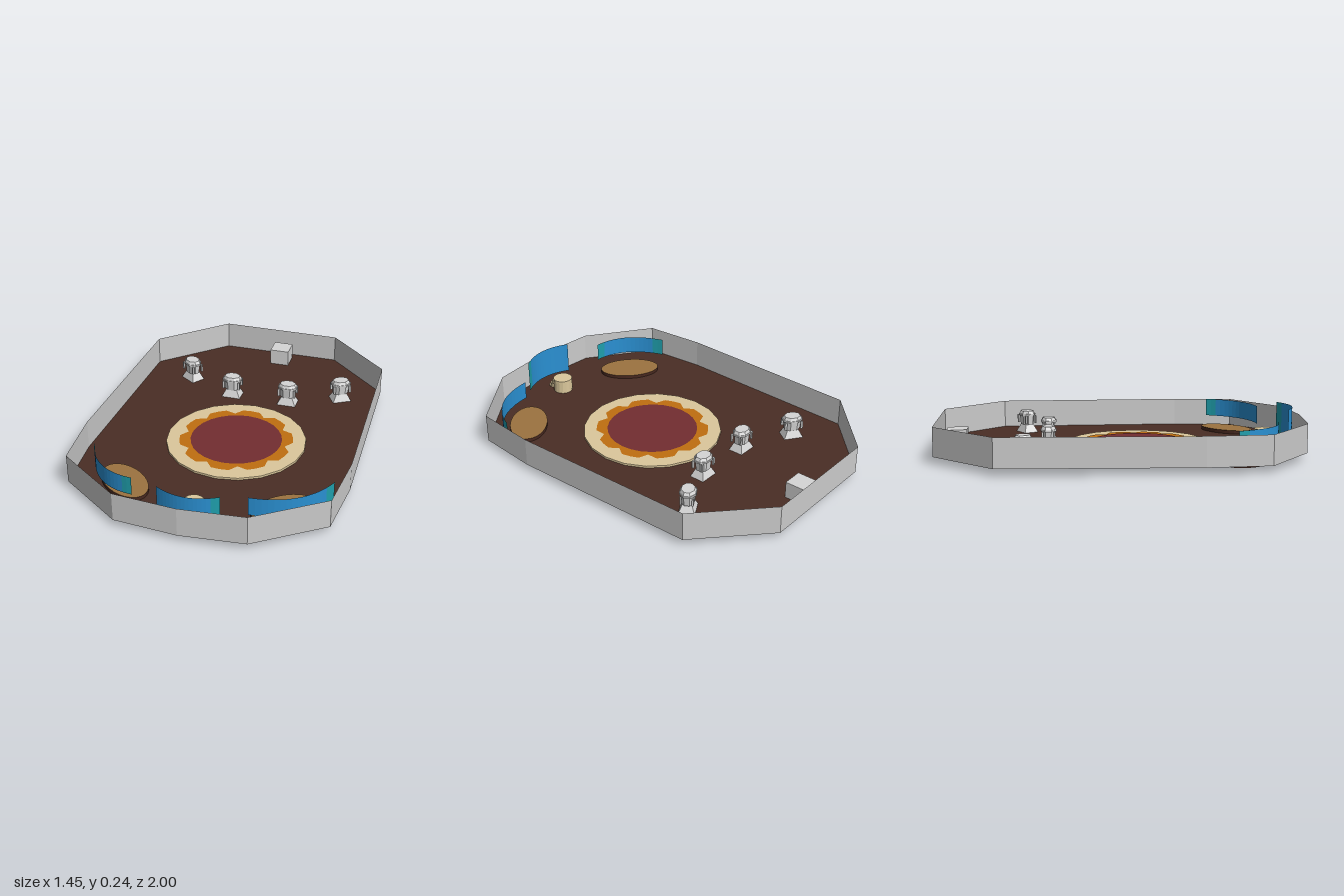
import * as THREE from 'three';

const mat = (name, color, double = false) => {
  const m = new THREE.MeshStandardMaterial({ color, flatShading: true });
  m.name = name;
  if (double) m.side = THREE.DoubleSide;
  return m;
};

export function createModel() {
  const root = new THREE.Group();
  root.name = 'controlRoom';
  const floorMat = mat('dark brown', 0x4a2e25, true);
  const wallMat = mat('wall grey', 0xcbcbcb, true);
  const seatMat = mat('light grey', 0xd6d6d6);
  const cream = mat('cream', 0xdcc89c, true);
  const orange = mat('orange', 0xc06f10);
  const burgundy = mat('burgundy', 0x732d31);
  const tan = mat('tan', 0x9c7340);
  const rimMat = mat('red brown', 0x48281f);
  const blue = mat('screen blue', 0x2a90d2, true);
  const teal = mat('screen teal', 0x1f9fac, true);

  const add = (parent, name, geo, material, x = 0, y = 0, z = 0) => {
    const m = new THREE.Mesh(geo, material);
    m.name = name;
    m.position.set(x, y, z);
    parent.add(m);
    return m;
  };

  // Upright strip following a list of [x, z] points
  const strip = (pts, y0, y1) => {
    const p = [];
    for (let i = 0; i < pts.length - 1; i++) {
      const [ax, az] = pts[i], [bx, bz] = pts[i + 1];
      p.push(ax, y0, az, bx, y0, bz, bx, y1, bz, ax, y0, az, bx, y1, bz, ax, y1, az);
    }
    const g = new THREE.BufferGeometry();
    g.setAttribute('position', new THREE.Float32BufferAttribute(p, 3));
    g.computeVertexNormals();
    return g;
  };

  // Room outline: floor and thin outer wall
  const half = [[0.345, -1], [0.695, -0.67], [0.725, 0.38], [0.695, 0.72], [0.345, 0.97]];
  const outline = [[0, 1], ...half.map(([x, z]) => [-x, z]).reverse(), ...half, [0, 1]];
  const floorShape = new THREE.Shape(outline.slice(0, -1).map(([x, z]) => new THREE.Vector2(x, -z)));
  add(root, 'floor', new THREE.ShapeGeometry(floorShape).rotateX(-Math.PI / 2), floorMat, 0, 0.038, 0);
  add(root, 'outerWall', strip(outline.slice().reverse(), 0.037, 0.195), wallMat);

  // Round central platform: cream disc, scalloped orange ring, burgundy centre
  const platform = new THREE.Group();
  platform.name = 'centralPlatform';
  platform.position.set(0.03, 0, 0.095);
  root.add(platform);
  const disc = (r, n) => new THREE.CircleGeometry(r, n).rotateX(-Math.PI / 2);
  add(platform, 'platformEdge', new THREE.CylinderGeometry(0.385, 0.385, 0.017, 20, 1, true), cream, 0, 0.0415, 0);
  add(platform, 'platformTop', disc(0.385, 20), cream, 0, 0.05, 0);
  const scallop = new THREE.Shape();
  for (let i = 0; i < 40; i++) {
    const a = (i / 40) * Math.PI * 2, r = i % 4 === 0 ? 0.275 : 0.313;
    scallop[i ? 'lineTo' : 'moveTo'](Math.cos(a) * r, Math.sin(a) * r);
  }
  add(platform, 'platformRing', new THREE.ShapeGeometry(scallop).rotateX(-Math.PI / 2), orange, 0, 0.052, 0);
  add(platform, 'platformCentre', disc(0.252, 28), burgundy, 0, 0.054, 0);

  // Four seats on flared square pedestals
  const flare = (top, bottom, h) => new THREE.CylinderGeometry(top, bottom, h, 4).rotateY(Math.PI / 4);
  const seats = [[-0.43, -0.53, -0.62], [-0.14, -0.4, 0], [0.195, -0.4, 0], [0.48, -0.53, 0.52]];
  for (const [x, z, turn] of seats) {
    const seat = new THREE.Group();
    seat.name = 'seat';
    seat.position.set(x, 0, z);
    seat.rotation.y = turn;
    seat.scale.z = 0.78;
    root.add(seat);
    add(seat, 'seatFoot', flare(0.044, 0.08, 0.05), seatMat, 0, 0.059, 0);
    const oct = (a, b, h) => new THREE.CylinderGeometry(a, b, h, 8).rotateY(Math.PI / 8);
    add(seat, 'seatBody', oct(0.052, 0.046, 0.055), seatMat, 0, 0.111, 0);
    add(seat, 'seatRim', oct(0.06, 0.06, 0.01), seatMat, 0, 0.143, 0);
    add(seat, 'seatCap', oct(0.046, 0.056, 0.017), seatMat, 0, 0.156, 0);
    for (const sx of [-1, 1])
      for (const sz of [-1, 1])
        add(seat, 'seatPost', new THREE.BoxGeometry(0.012, 0.045, 0.012), seatMat, sx * 0.046, 0.115, sz * 0.04);
  }

  // Box against the back wall
  add(root, 'rearBox', new THREE.BoxGeometry(0.112, 0.1, 0.112), seatMat, 0.028, 0.08, -0.902);

  // Two low oval tables and the curved screens around them
  const table = (x, z, turn) => {
    const g = new THREE.CylinderGeometry(1, 1, 0.058, 32);
    g.scale(0.174, 1, 0.104);
    add(root, 'ovalTable', g, [rimMat, tan, tan], x, 0.029, z).rotation.y = turn;
  };
  table(-0.405, 0.655, -0.72);
  table(0.443, 0.66, 0.72);

  // Curved screen from point a to b, bulging outwards, with teal end panels
  const screen = (name, a, mid, b, y0, y1, tealEnds) => {
    const curve = new THREE.QuadraticBezierCurve(
      new THREE.Vector2(...a), new THREE.Vector2(...mid), new THREE.Vector2(...b));
    const pts = curve.getPoints(16).map(p => [p.x, p.y]);
    const start = tealEnds === 2 ? 2 : 0;
    add(root, name, strip(pts.slice(start, 15), y0, y1), blue);
    add(root, name + 'EndPanel', strip(pts.slice(14), y0, y1), teal);
    if (start) add(root, name + 'EndPanel', strip(pts.slice(0, 3), y0, y1), teal);
  };
  screen('frontScreen', [-0.133, 0.91], [0.03, 1.01], [0.192, 0.91], 0.062, 0.241, 1);
  screen('leftScreen', [0.305, 0.82], [0.58, 0.81], [0.678, 0.57], 0.098, 0.2, 1);
  screen('rightScreen', [-0.605, 0.56], [-0.52, 0.81], [-0.3, 0.82], 0.098, 0.2, 2);

  // Front stool with a ribbed, leaning back post
  add(root, 'frontStool', new THREE.CylinderGeometry(0.055, 0.055, 0.088, 16), cream, 0.022, 0.071, 0.806);
  for (let i = 0; i < 4; i++)
    add(root, 'stoolBackRib', new THREE.CylinderGeometry(0.03, 0.03, 0.018, 12), cream,
      0.02, 0.034 + i * 0.019, 0.882 - i * 0.013);
  return root;
}
